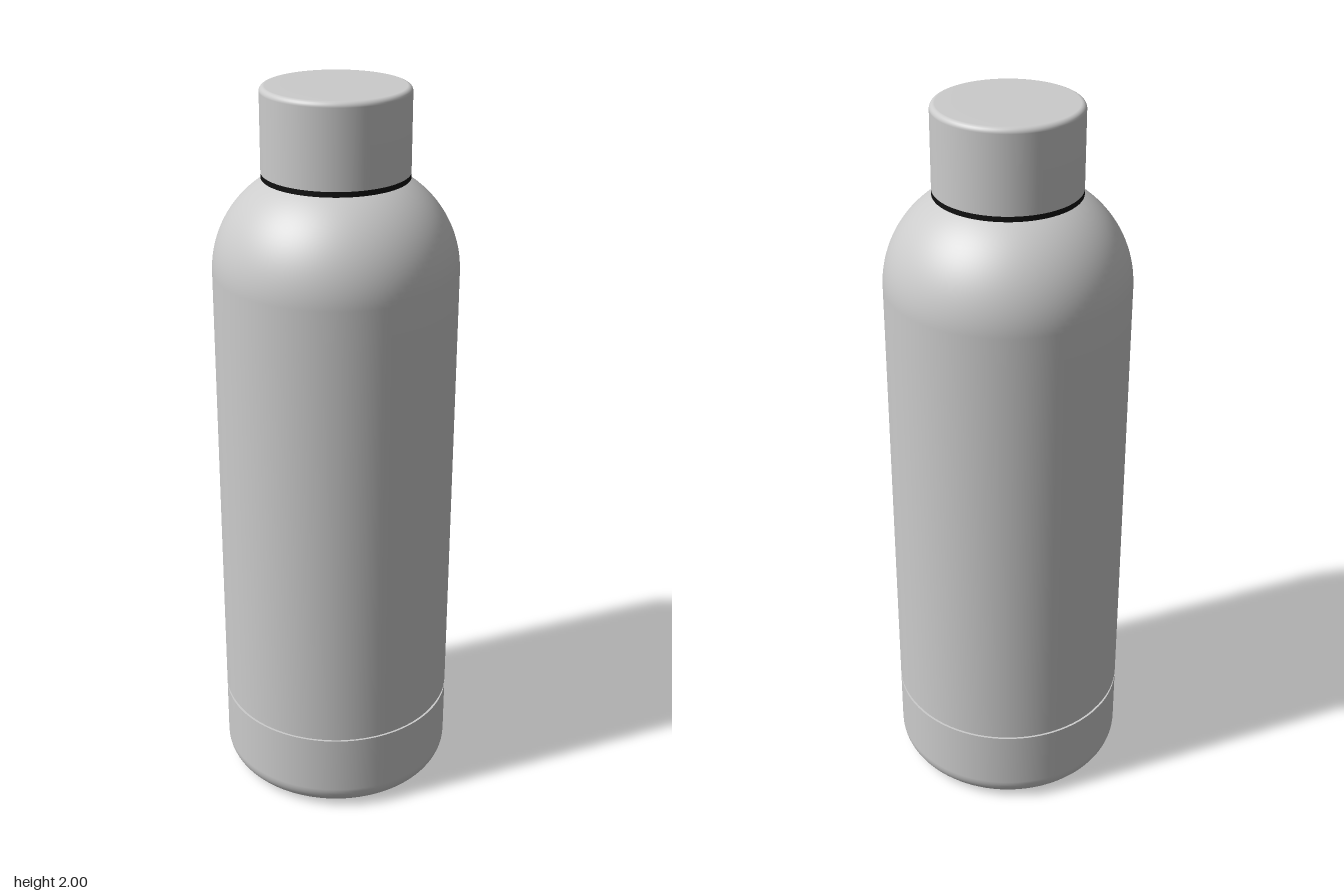
import * as THREE from 'three';

const SEGMENTS = 96;

// Points along an arc, angles in degrees
function arc(cx, cy, r, from, to, steps) {
  return Array.from({ length: steps + 1 }, (_, i) => {
    const a = THREE.MathUtils.degToRad(from + (to - from) * i / steps);
    return [cx + r * Math.cos(a), cy + r * Math.sin(a)];
  });
}

// A doubled point gives a sharp edge in the turned surface
const sharp = (x, y) => [[x, y], [x, y]];

function turned(name, profile, color = 0xcccccc) {
  const points = profile.map(([x, y]) => new THREE.Vector2(x, y));
  const mesh = new THREE.Mesh(
    new THREE.LatheGeometry(points, SEGMENTS),
    new THREE.MeshStandardMaterial({ color })
  );
  mesh.name = name;
  return mesh;
}

export function createModel() {
  const group = new THREE.Group();
  group.name = 'bottle';
  const R = 0.325, capR = 0.193;

  // Base cup with rounded foot, up to the seam
  group.add(turned('base', [
    [0, 0], [0.2, 0],
    ...arc(R - 0.065, 0.065, 0.065, -90, 0, 10),
    ...sharp(R, 0.235),
    [R - 0.006, 0.235],
  ]));

  // Recessed seam between base and body
  group.add(turned('seam', [[R - 0.006, 0.235], [R - 0.006, 0.245]]));

  // Straight body, domed shoulder and neck
  group.add(turned('body', [
    [R - 0.006, 0.245],
    ...sharp(R, 0.245),
    [R, 1.4],
    ...arc(R - 0.279, 1.52, 0.279, 0, 63, 20),
    ...sharp(0.17, 1.769),
    [0.17, 1.8],
  ]));

  // Dark sealing ring under the cap
  group.add(turned('sealRing', [
    [0.165, 1.767],
    ...sharp(capR, 1.767),
    ...sharp(capR, 1.781),
    [0.165, 1.781],
  ], 0x111111));

  // Cap with a softened top edge
  group.add(turned('cap', [
    [0.165, 1.781],
    ...sharp(capR, 1.781),
    ...arc(capR - 0.014, 1.986, 0.014, 0, 90, 6),
    [0.1, 2], [0, 2],
  ]));

  return group;
}
